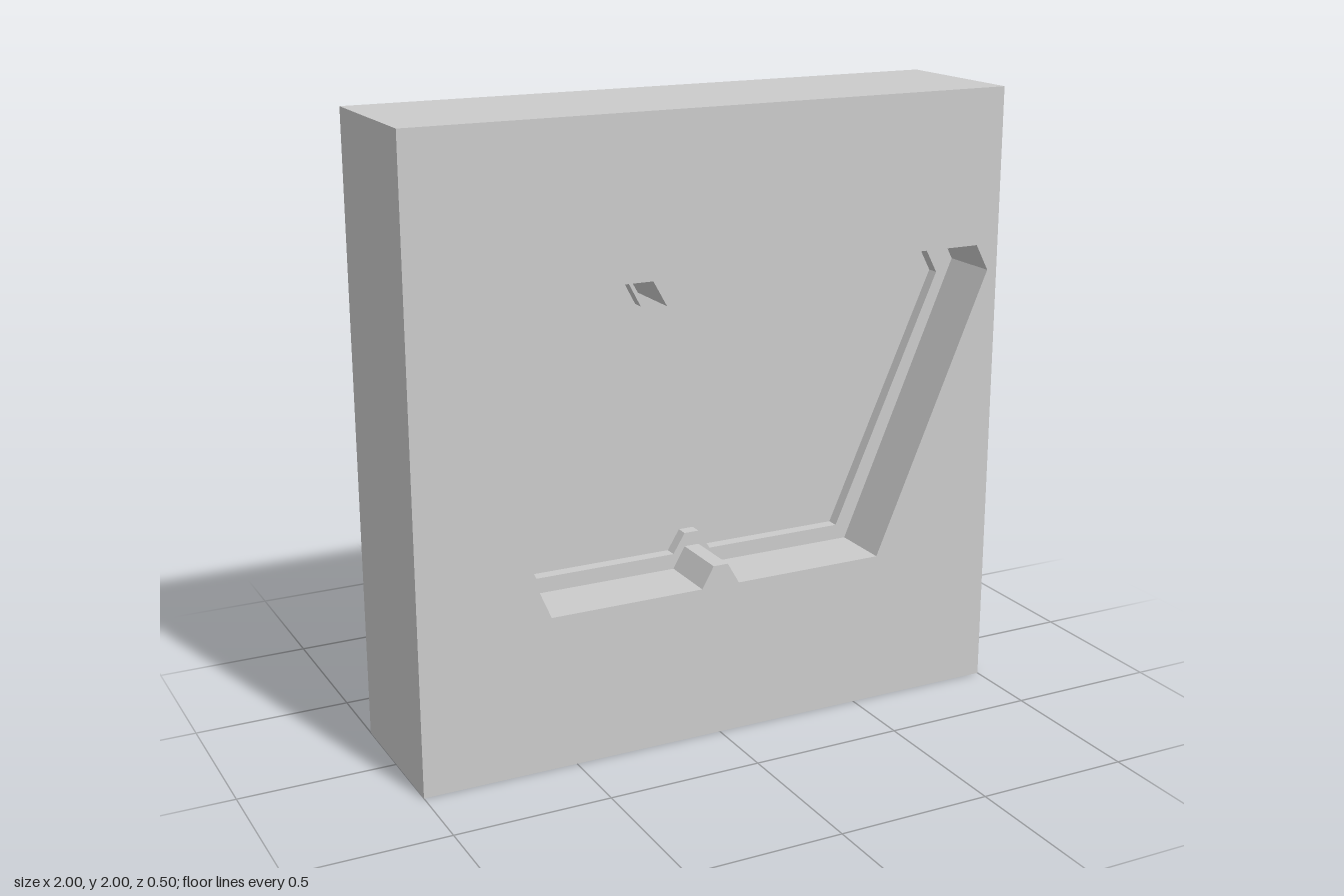
import * as THREE from 'three';

// Right half of each outline, from the bottom notch round to the top notch
const OPENING = [[0.025, 0.57], [0.065, 0.5], [0.575, 0.5], [0.965, 1.415],
  [0.92, 1.5], [0.23, 1.5], [0.185, 1.42]];
const PANE = [[0.025, 0.615], [0.065, 0.55], [0.54, 0.55], [0.905, 1.375],
  [0.865, 1.45], [0.215, 1.45], [0.175, 1.375]];
const WALL = [[1, 0], [1, 2]];

// Closes a half outline by mirroring it across x = 0 (counter-clockwise)
function mirrored(half) {
  const other = half.map(([x, y]) => [-x, y]).reverse();
  return [...half, ...other].map(([x, y]) => new THREE.Vector2(x, y));
}

// Extrudes an outline, with an optional hole, evenly about z = 0
function slab(name, outline, hole, depth, material) {
  const shape = new THREE.Shape(mirrored(outline));
  if (hole) shape.holes.push(new THREE.Path(mirrored(hole)));
  const geometry = new THREE.ExtrudeGeometry(shape, { depth, bevelEnabled: false });
  geometry.translate(0, 0, -depth / 2);
  const mesh = new THREE.Mesh(geometry, material);
  mesh.name = name;
  return mesh;
}

export function createModel() {
  const group = new THREE.Group();
  group.name = 'wallWithWindow';
  const material = new THREE.MeshStandardMaterial({ color: 0xcccccc, flatShading: true });
  group.add(
    slab('wall', WALL, OPENING, 0.5, material), // thick block with the opening
    slab('windowFrame', OPENING, PANE, 0.1, material), // narrow stepped rim
    slab('windowPane', PANE, null, 0.02, material), // thin panel in the middle
  );
  return group;
}
